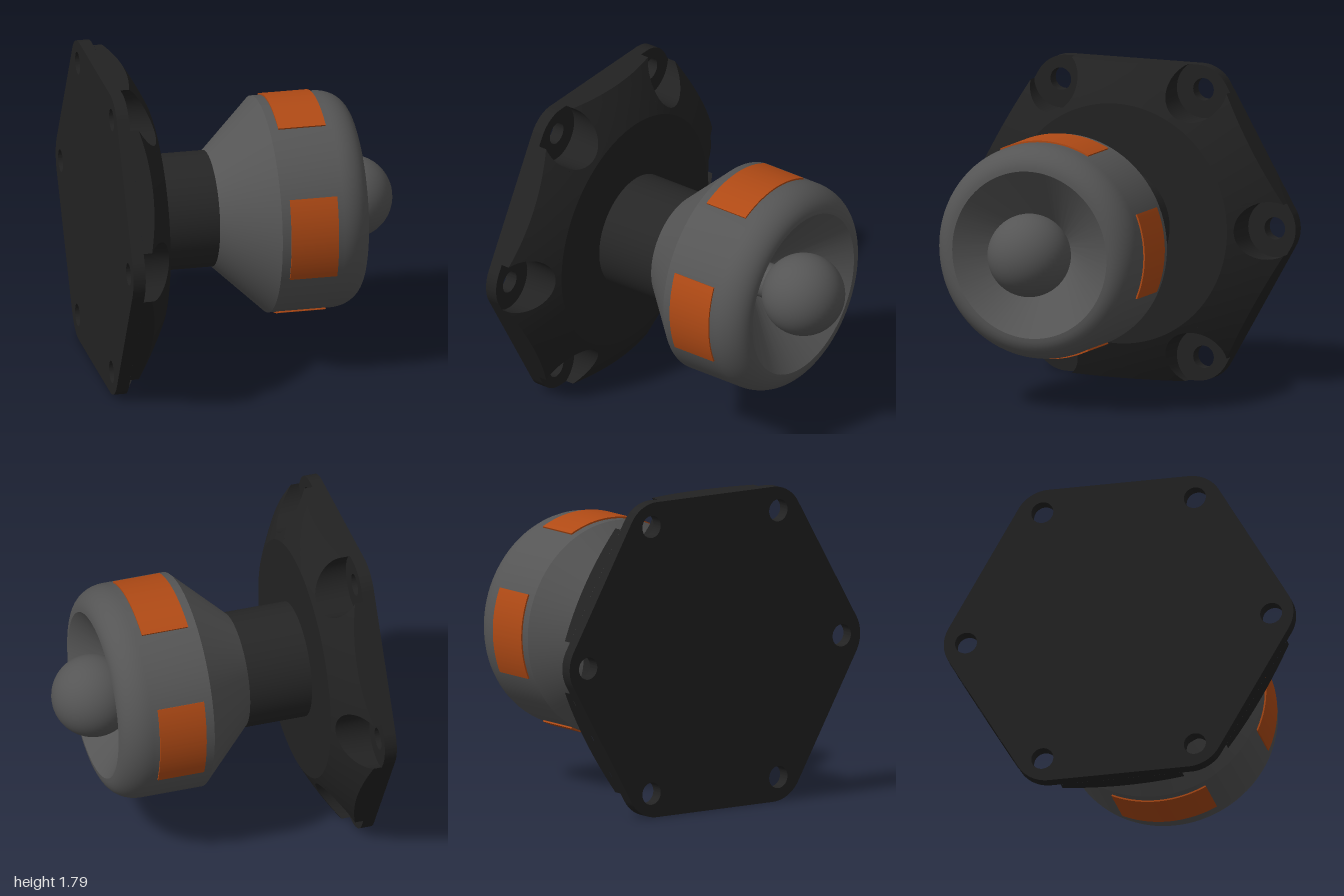
import * as THREE from 'three';
import { toCreasedNormals } from 'three/addons/utils/BufferGeometryUtils.js';

const AXIS_Y = 0.893, APOTHEM = 0.893;        // height of the main axis, hexagon size
const CORNER_C = 0.8, CORNER_R = 0.2;         // rounded hexagon corners
const HOLE_C = 0.873, HOLE_R = 0.063, BORE_R = 0.163;
const X_BACK = -0.85, X_FLOOR = -0.78, X_TOP = -0.566, FLAT_R = 0.677;

const mat = (color) => new THREE.MeshStandardMaterial({ color });

function mesh(name, geometry, material) {
  const m = new THREE.Mesh(geometry, material);
  m.name = name;
  return m;
}

// Revolve [radius, x] points about the x axis
function revolve(points, segments = 96) {
  const g = new THREE.LatheGeometry(points.map(([r, x]) => new THREE.Vector2(r, x)), segments);
  return toCreasedNormals(g.rotateZ(-Math.PI / 2), 0.4);
}

// Extrude a shape along +x, starting at x
function extrudeX(shape, x, depth) {
  const g = new THREE.ExtrudeGeometry(shape, { depth, bevelEnabled: false, curveSegments: 32 });
  return toCreasedNormals(g.rotateY(Math.PI / 2).translate(x, 0, 0), 0.5);
}

// Thin plate: rounded hexagon with six screw holes
function plateGeometry() {
  const shape = new THREE.Shape();
  for (let k = 0; k < 6; k++) {
    const a = k * Math.PI / 3, c = Math.cos(a), s = Math.sin(a);
    shape.absarc(CORNER_C * c, CORNER_C * s, CORNER_R, a - Math.PI / 6, a + Math.PI / 6, false);
    const hole = new THREE.Path();
    hole.absarc(HOLE_C * c, HOLE_C * s, HOLE_R, 0, Math.PI * 2, true);
    shape.holes.push(hole);
  }
  return extrudeX(shape, X_BACK, X_FLOOR - X_BACK);
}

// Domed body on the plate, notched by six counterbores; built per half sector and mirrored
function domeGeometry() {
  const rise = (r) => {
    const d = Math.max(0, r - FLAT_R);
    return X_TOP - 0.49 * d - 0.35 * d * d;
  };
  const chord = (t) => Math.sqrt(Math.max(0, BORE_R ** 2 - (HOLE_C * Math.sin(t)) ** 2));
  const near = (t) => HOLE_C * Math.cos(t) - chord(t);
  const far = (t) => HOLE_C * Math.cos(t) + chord(t);
  const rim = (t) => APOTHEM / Math.cos(Math.PI / 6 - t);
  // Angle where a ray grazes the counterbore, and where the counterbore meets the rim
  const graze = Math.asin(BORE_R / HOLE_C);
  const d = APOTHEM - HOLE_C * Math.cos(Math.PI / 6), h = Math.sqrt(BORE_R ** 2 - d * d);
  const meet = Math.atan2(d * 0.5 + h * 0.866, HOLE_C + d * 0.866 - h * 0.5);
  const inner = () => FLAT_R;
  const ease = (u) => Math.sin(u * Math.PI / 2);
  const patches = [
    [0, graze, inner, near, ease, 12],
    [meet, graze, far, rim, ease, 8],
    [graze, Math.PI / 6, inner, rim, (u) => u, 10],
  ];
  const pos = [], STEPS = 6;
  for (let k = 0; k < 6; k++) for (const side of [1, -1]) {
    for (const [t0, t1, from, to, curve, n] of patches) {
      const cols = [];
      for (let i = 0; i <= n; i++) {
        const t = t0 + (t1 - t0) * curve(i / n), a = k * Math.PI / 3 + side * t;
        const r0 = from(t), r1 = Math.max(r0, to(t));
        const section = from === inner ? [[0.3, X_TOP]] : [[r0, X_FLOOR]];
        for (let j = 0; j <= STEPS; j++) {
          const r = r0 + (r1 - r0) * j / STEPS;
          section.push([r, rise(r)]);
        }
        section.push([r1, X_FLOOR]);
        cols.push(section.map(([r, x]) => [x, r * Math.sin(a), r * Math.cos(a)]));
      }
      for (let i = 0; i < n; i++) for (let j = 0; j < cols[0].length - 1; j++) {
        const p = cols[i][j], q = cols[i + 1][j], u = cols[i + 1][j + 1], v = cols[i][j + 1];
        pos.push(...(side > 0 ? [p, q, u, p, u, v] : [p, u, q, p, v, u]).flat());
      }
    }
  }
  const g = new THREE.BufferGeometry();
  g.setAttribute('position', new THREE.Float32BufferAttribute(pos, 3));
  return toCreasedNormals(g, 0.4);
}

// Curved pad hugging the head, centred on the +y direction
function padGeometry(halfAngle) {
  const mid = Math.PI / 2, shape = new THREE.Shape();
  shape.absarc(0, 0, 0.616, mid - halfAngle, mid + halfAngle, false);
  shape.absarc(0, 0, 0.598, mid + halfAngle, mid - halfAngle, true);
  shape.closePath();
  return extrudeX(shape, 0.14, 0.27);
}

export function createModel() {
  const black = mat(0x222222), darkGrey = mat(0x262626), grey = mat(0x555555), orange = mat(0xb04a15);
  const model = new THREE.Group();
  model.name = 'wallMountedKnob';
  const body = new THREE.Group();
  body.name = 'body';
  body.position.y = AXIS_Y;
  model.add(body);

  // Mounting flange
  const flange = new THREE.Group();
  flange.name = 'mountingFlange';
  flange.add(mesh('flangePlate', plateGeometry(), black), mesh('flangeDome', domeGeometry(), black));
  body.add(flange);

  // Neck
  body.add(mesh('neck', revolve([[0.326, -0.6], [0.326, -0.2]]), darkGrey));

  // Head: cone, barrel, rounded lip and conical bowl
  const profile = [[0, -0.205], [0.326, -0.205], [0.607, 0.09]];
  for (let i = 0; i <= 10; i++) {
    const a = i / 10 * Math.PI / 2;
    profile.push([0.472 + 0.135 * Math.cos(a), 0.445 + 0.165 * Math.sin(a)]);
  }
  profile.push([0.1, 0.3], [0, 0.3]);
  body.add(mesh('head', revolve(profile), grey));

  // Ball on its post inside the bowl
  body.add(mesh('ballPost', revolve([[0.1, 0.28], [0.1, 0.6]], 48), grey));
  const ball = mesh('ball', new THREE.SphereGeometry(0.233, 48, 32), grey);
  ball.position.x = 0.612;
  body.add(ball);

  // Four pads around the barrel
  for (let k = 0; k < 4; k++) {
    const pad = mesh('gripPad', padGeometry(k % 2 ? 0.4 : 0.456), orange);
    pad.rotation.x = k * Math.PI / 2;
    body.add(pad);
  }
  return model;
}
